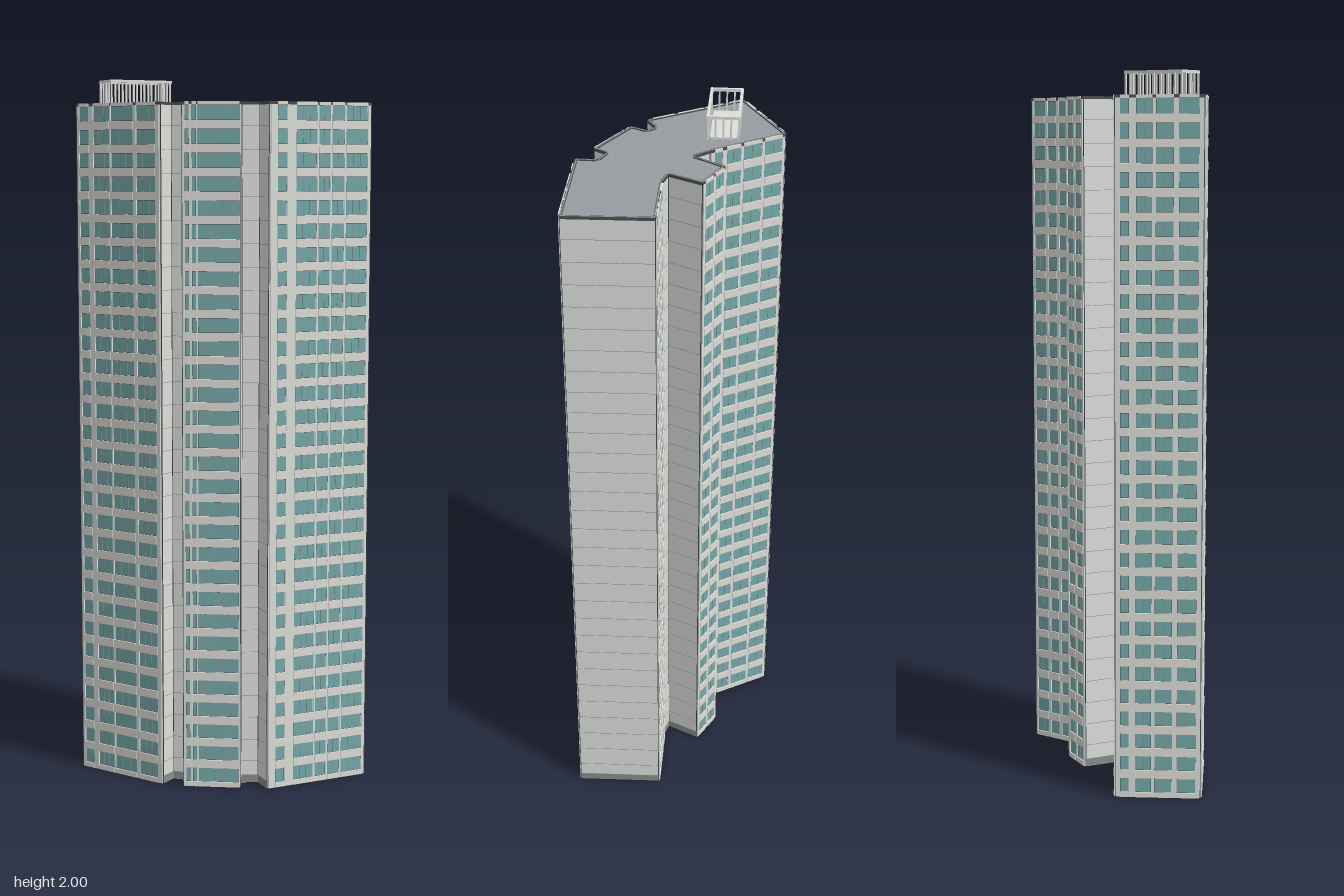
import * as THREE from 'three';
import { mergeGeometries } from 'three/addons/utils/BufferGeometryUtils.js';

const H = 1.935, FLOORS = 30, FH = H / FLOORS;

const mat = (name, color) => {
  const m = new THREE.MeshStandardMaterial({ color });
  m.name = name;
  return m;
};

// box given by its centre and size
const box = (x, y, z, w, h, d) => new THREE.BoxGeometry(w, h, d).translate(x, y, z);

const add = (parent, name, geos, material) => {
  const mesh = new THREE.Mesh(mergeGeometries(geos), material);
  mesh.name = name;
  parent.add(mesh);
};

// footprint corners (x, z); each edge lists its window columns as fractions of its width
const FOOTPRINT = [
  { p: [-0.248, -0.229], name: 'rightWingBack', cols: [[.06, .16], [.22, .4], [.44, .68], [.72, .95]] },
  { p: [-0.075, -0.08], name: 'rightLink' },
  { p: [-0.03, -0.051], name: 'coreRight' },
  { p: [-0.005, -0.149], name: 'coreBack', cols: [[.1, .45], [.55, .9]] },
  { p: [0.103, -0.129], name: 'coreLeft' },
  { p: [0.09, -0.03], name: 'leftLink' },
  { p: [0.135, -0.031], name: 'leftWingBack', cols: [[.05, .25], [.3, .45], [.5, .66], [.74, .95]] },
  { p: [0.324, -0.092], name: 'leftEnd' },
  { p: [0.404, 0.131], name: 'leftWingFront', cols: [[.08, .17], [.26, .46], [.48, .59], [.61, .73], [.75, .96]] },
  { p: [0.101, 0.226], name: 'leftNotchSide' },
  { p: [0.084, 0.17], name: 'leftNotchBack' },
  { p: [0.036, 0.165], name: 'leftNotchInner' },
  { p: [0.027, 0.206], name: 'middleFront', cols: [[.05, .12], [.17, .24], [.27, .97]] },
  { p: [-0.132, 0.169], name: 'rightNotchInner' },
  { p: [-0.125, 0.119], name: 'rightNotchBack' },
  { p: [-0.154, 0.106], name: 'rightNotchSide' },
  { p: [-0.187, 0.145], name: 'rightWingFront', cols: [[.04, .15], [.21, .4], [.42, .68], [.72, .94]] },
  { p: [-0.406, -0.051], name: 'rightEnd', cols: [[.06, .16], [.24, .42], [.46, .66], [.72, .94]] },
];

export function createModel() {
  const model = new THREE.Group();
  model.name = 'apartmentTower';
  const wall = mat('wall grey', 0xdcdfda);
  const trim = mat('spandrel white', 0xe0ded8);
  const glass = mat('teal glass', 0x74a9ab);
  const dark = mat('dark frame', 0x4a4e50);
  const seam = mat('seam grey', 0x8a8d89);
  const roof = mat('roof grey', 0x969c9f);

  // solid tower body with a roof slab
  const shape = new THREE.Shape(FOOTPRINT.map(({ p }) => new THREE.Vector2(p[0], -p[1])));
  const slab = (name, y, depth, material) => {
    const geo = new THREE.ExtrudeGeometry(shape, { depth, bevelEnabled: false });
    geo.rotateX(-Math.PI / 2).translate(0, y, 0);
    const mesh = new THREE.Mesh(geo, material);
    mesh.name = name;
    model.add(mesh);
  };
  slab('towerBody', 0, H - 0.006, wall);
  slab('roofSlab', H - 0.006, 0.003, roof);

  FOOTPRINT.forEach((edge, i) => {
    const a = edge.p, b = FOOTPRINT[(i + 1) % FOOTPRINT.length].p;
    const dx = b[0] - a[0], dz = b[1] - a[1], L = Math.hypot(dx, dz);
    // local x runs along the wall, local z points outwards
    const side = new THREE.Group();
    side.name = edge.name;
    side.position.set(b[0], 0, b[1]);
    side.rotation.y = Math.atan2(dz, -dx);
    model.add(side);

    // parapet: pale coping between dark edges
    add(side, 'parapetEdges', [
      box(L / 2, H - 0.004, 0.0005, L, 0.008, 0.002),
      box(L / 2, H - 0.002, -0.005, L - 0.008, 0.004, 0.0015),
    ], dark);
    add(side, 'parapetCoping', [box(L / 2, H - 0.002, -0.0024, L - 0.004, 0.004, 0.0038)], seam);
    // thin corner lines
    add(side, 'cornerLines', [0.0006, L - 0.0006].map(x => box(x, H / 2, 0.0003, 0.0012, H, 0.001)), dark);

    if (edge.cols) addWindows(side, edge.cols, L);
    else {
      // plain wall with a fine joint at each floor and a grey plinth
      const joints = [];
      for (let f = 1; f < FLOORS; f++) joints.push(box(L / 2, f * FH, 0, L, 0.0012, 0.001));
      add(side, 'wallJoints', joints, seam);
      add(side, 'plinth', [box(L / 2, 0.012, 0, L, 0.022, 0.002)], seam);
    }
  });

  function addWindows(side, cols, L) {
    const frames = [], panes = [], ledges = [], mullions = [], piers = [];
    // piers between the window columns
    const stops = [0.012, ...cols.flat(), 0.988];
    for (let k = 0; k < stops.length; k += 2) {
      const u0 = stops[k] * L, u1 = stops[k + 1] * L;
      piers.push(box((u0 + u1) / 2, H / 2 - 0.004, 0.001, u1 - u0 - 0.0012, H - 0.008, 0.005));
    }
    for (let f = 0; f < FLOORS; f++) {
      const y = (f + 0.54) * FH, h = FH * 0.62;
      for (const [u0, u1] of cols) {
        const w = (u1 - u0) * L, x = (u0 + u1) / 2 * L;
        frames.push(box(x, y, 0, w, h + 0.003, 0.001));
        panes.push(box(x, y, 0.0005, w - 0.0016, h - 0.001, 0.002));
        // vertical bars split wide panes
        const n = Math.max(1, Math.round(w / 0.022));
        for (let k = 1; k < n; k++) mullions.push(box(x - w / 2 + k * w / n, y, 0.001, 0.0012, h, 0.003));
        // spandrel bands below and above the window
        ledges.push(box(x, f * FH + FH * 0.11, 0.0015, w, FH * 0.22, 0.006));
        ledges.push(box(x, f * FH + FH * 0.93, 0.0015, w, FH * 0.14, 0.006));
      }
    }
    add(side, 'windowFrames', frames, dark);
    add(side, 'windowPanes', panes, glass);
    if (mullions.length) add(side, 'windowBars', mullions, seam);
    add(side, 'spandrels', ledges, trim);
    add(side, 'piers', piers, wall);
  }

  // open railing enclosure on the roof
  const crown = new THREE.Group();
  crown.name = 'roofEnclosure';
  crown.position.set(-0.238, H - 0.004, -0.06);
  crown.rotation.y = 0.308;
  model.add(crown);
  const W = 0.186, D = 0.09, T = 0.069, bars = [], rails = [];
  for (const s of [-1, 1]) {
    rails.push(box(0, T - 0.004, s * (D / 2 - 0.004), W, 0.008, 0.008));
    rails.push(box(s * (W / 2 - 0.004), T - 0.004, 0, 0.008, 0.008, D - 0.016));
    for (let k = 0; k <= 8; k++) bars.push(box((k / 8 - 0.5) * (W - 0.008), T / 2 - 0.003, s * (D / 2 - 0.004), 0.005, T - 0.008, 0.005));
    for (let k = 1; k < 4; k++) bars.push(box(s * (W / 2 - 0.004), T / 2 - 0.003, (k / 4 - 0.5) * (D - 0.008), 0.005, T - 0.008, 0.005));
  }
  add(crown, 'enclosureRails', rails, wall);
  add(crown, 'enclosureBars', bars, trim);
  add(crown, 'enclosureFloor', [box(0, 0.003, 0, W - 0.018, 0.006, D - 0.018)], wall);

  return model;
}
